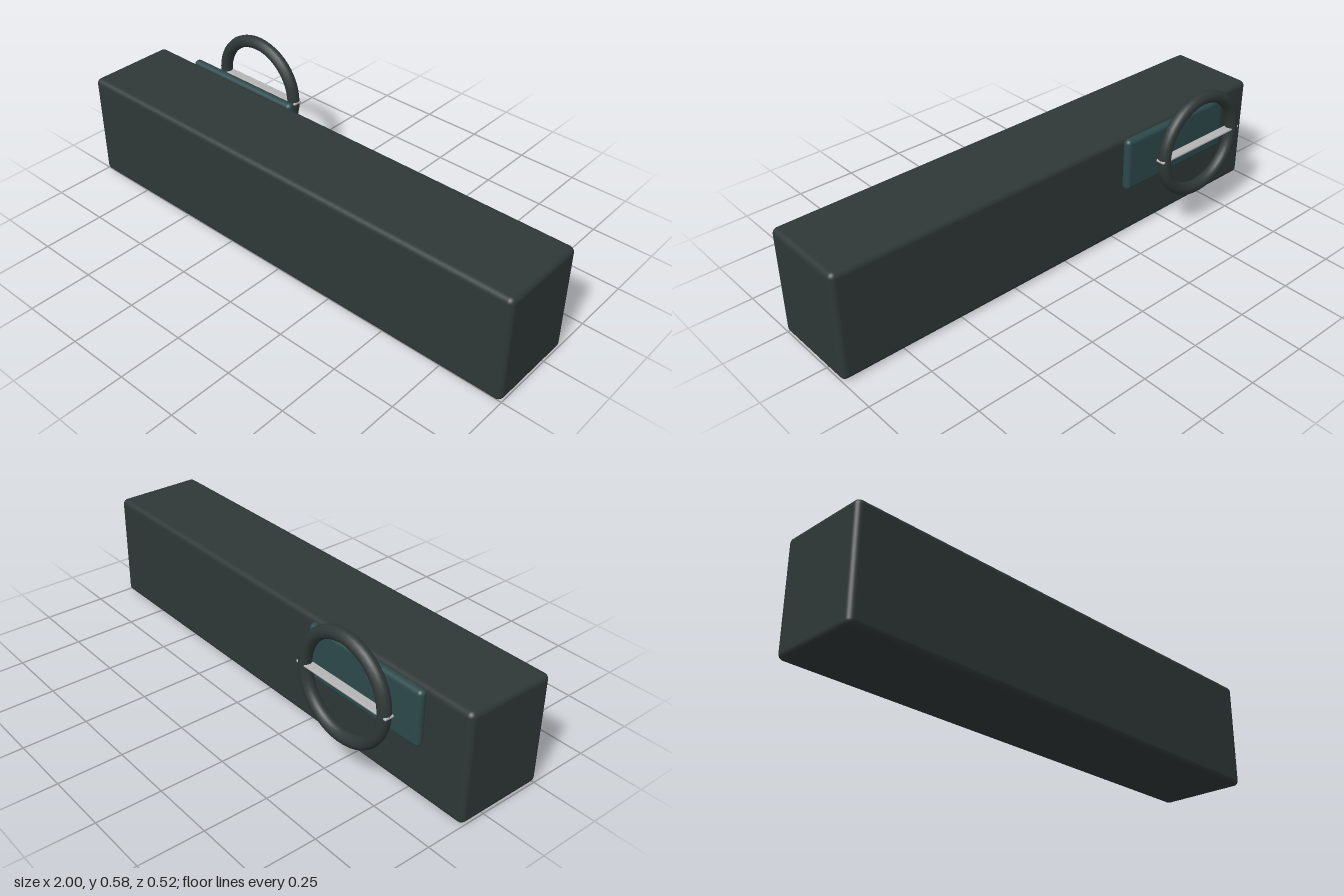
import * as THREE from 'three';
import { RoundedBoxGeometry } from 'three/addons/geometries/RoundedBoxGeometry.js';

function material(name, color) {
  const m = new THREE.MeshStandardMaterial({ color });
  m.name = name;
  return m;
}

export function createModel() {
  const model = new THREE.Group();
  model.name = 'dashboard';
  const charcoal = material('charcoal', 0x2f3837);
  const teal = material('dark teal', 0x2d494b);
  const silver = material('silver grey', 0xb4b4b4);

  const add = (parent, name, geometry, mat, x, y, z) => {
    const mesh = new THREE.Mesh(geometry, mat);
    mesh.name = name;
    mesh.position.set(x, y, z);
    parent.add(mesh);
  };

  // Long dashboard body with softened edges
  add(model, 'dashBody', new RoundedBoxGeometry(2, 0.436, 0.364, 4, 0.022), charcoal, 0, 0.219, 0.078);

  // Instrument panel on the driver's side
  add(model, 'instrumentPanel', new RoundedBoxGeometry(0.544, 0.218, 0.036, 4, 0.0175), teal, -0.547, 0.328, -0.123);

  // Steering wheel: rim and flat cross spoke
  const wheel = new THREE.Group();
  wheel.name = 'steeringWheel';
  wheel.position.set(-0.565, 0.364, -0.233);
  add(wheel, 'rim', new THREE.TorusGeometry(0.192, 0.025, 12, 48), charcoal, 0, 0, 0);
  add(wheel, 'spoke', new RoundedBoxGeometry(0.436, 0.01, 0.038, 3, 0.004), silver, 0, 0, 0);
  model.add(wheel);

  return model;
}
